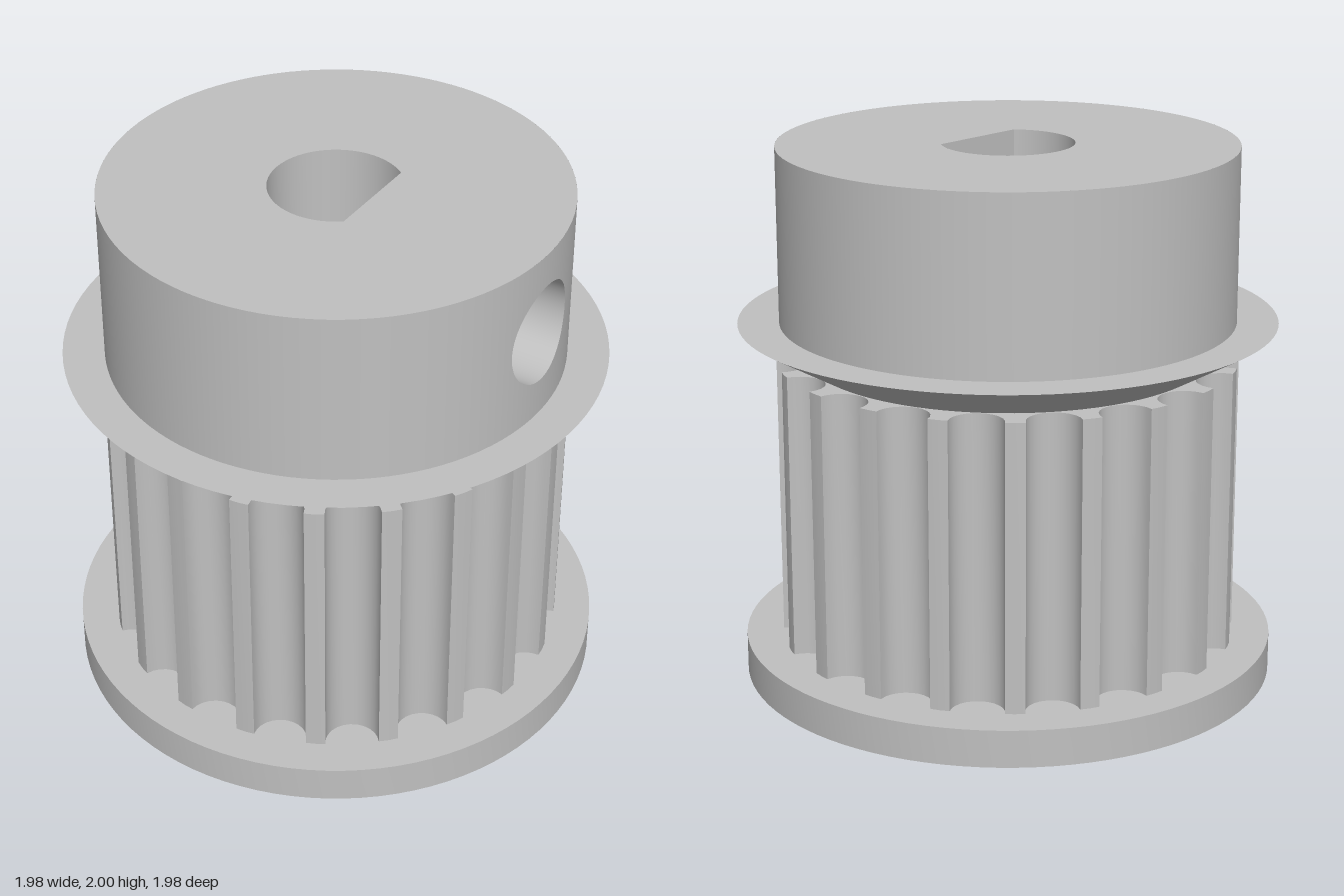
import * as THREE from 'three';
import { toCreasedNormals } from 'three/addons/utils/BufferGeometryUtils.js';

const FLANGE_R = 0.992, HUB_R = 0.84, TIP_R = 0.855;
const BORE_R = 0.243, FLAT_X = 0.15, BORE_A = Math.acos(FLAT_X / BORE_R);
const Y_FLANGE = 0.14, Y_TEETH = 1.21, Y_HUB = 1.35, Y_TOP = 2;
const SCREW_Y = 1.68, SCREW_R = 0.19, THREAD_R = 0.155, STEP_X = 0.3;

// D-shaped bore outline
function boreHole() {
  return new THREE.Path().absarc(0, 0, BORE_R, BORE_A, 2 * Math.PI - BORE_A, false);
}

function disc(radius) {
  const s = new THREE.Shape();
  s.absarc(0, 0, radius, 0, 2 * Math.PI, false);
  s.holes.push(boreHole());
  return s;
}

// Outline with 20 round-bottomed grooves
function toothedShape() {
  const teeth = 20, steps = 12, grooveR = 0.098, centreR = 0.848, pts = [];
  for (let k = 0; k < teeth; k++) {
    const g = (k / teeth) * 2 * Math.PI;
    for (let i = 0; i <= steps; i++) {
      const p = (i / steps - 0.5) * Math.PI;
      const r = centreR - grooveR * Math.cos(p), t = grooveR * Math.sin(p);
      pts.push(new THREE.Vector2(r * Math.cos(g) - t * Math.sin(g), r * Math.sin(g) + t * Math.cos(g)));
    }
    const m = g + Math.PI / teeth;
    pts.push(new THREE.Vector2(TIP_R * Math.cos(m), TIP_R * Math.sin(m)));
  }
  const s = new THREE.Shape(pts);
  s.holes.push(boreHole());
  return s;
}

function upright(shape, y0, y1) {
  const g = new THREE.ExtrudeGeometry(shape, { depth: y1 - y0, bevelEnabled: false, curveSegments: 48 });
  g.rotateX(-Math.PI / 2).translate(0, y0, 0);
  return toCreasedNormals(g, 0.6);
}

// Skin between closed loops of equal point count
function loft(loops) {
  const n = loops[0].length, index = [];
  for (let j = 0; j < loops.length - 1; j++) {
    for (let i = 0; i < n; i++) {
      const a = j * n + i, b = j * n + (i + 1) % n;
      index.push(a, a + n, b, b, a + n, b + n);
    }
  }
  const g = new THREE.BufferGeometry().setFromPoints(loops.flat());
  g.setIndex(index);
  g.computeVertexNormals();
  return g;
}

// Loop around the set-screw axis; point(t) gives the position at angle t
function loop(point) {
  return Array.from({ length: 64 }, (_, i) => point((i / 64) * 2 * Math.PI));
}

const screwCircle = (r, x) => loop(t => new THREE.Vector3(x, SCREW_Y + r * Math.sin(t), r * Math.cos(t)));
const onHub = (y, z) => new THREE.Vector3(Math.sqrt(HUB_R * HUB_R - z * z), y, z);

export function createModel() {
  const group = new THREE.Group();
  const steel = new THREE.MeshStandardMaterial({ color: 0xc0c0c0, side: THREE.DoubleSide });
  steel.name = 'steel grey';
  const add = (name, geometry) => {
    const m = new THREE.Mesh(geometry, steel);
    m.name = name;
    group.add(m);
    return m;
  };

  // Lower flange and toothed body
  add('lowerFlange', upright(disc(FLANGE_R), 0, Y_FLANGE));
  add('toothedBody', upright(toothedShape(), Y_FLANGE, Y_TEETH));

  // Upper flange: flared underside and flat top
  const flare = new THREE.CylinderGeometry(FLANGE_R, 0.745, Y_HUB - Y_TEETH, 96, 1, true);
  add('upperFlangeFlare', flare.translate(0, (Y_TEETH + Y_HUB) / 2, 0));
  const ring = new THREE.RingGeometry(HUB_R - 0.01, FLANGE_R, 96);
  add('upperFlangeTop', ring.rotateX(-Math.PI / 2).translate(0, Y_HUB, 0));

  // Hub wall, leaving a window for the set-screw hole
  const w = (Y_TOP - Y_HUB) / 2, mid = (Y_TOP + Y_HUB) / 2, half = Math.asin(w / HUB_R);
  const wall = new THREE.CylinderGeometry(HUB_R, HUB_R, 2 * w, 96, 1, true,
    Math.PI / 2 + half, 2 * Math.PI - 2 * half);
  add('hubWall', wall.translate(0, mid, 0));

  // Curved patch from the round hole out to the window's square edge
  const patchLoops = [];
  for (let j = 0; j <= 6; j++) {
    const f = j / 6;
    patchLoops.push(loop(t => {
      const c = Math.cos(t), s = Math.sin(t), q = w / Math.max(Math.abs(c), Math.abs(s));
      const z = THREE.MathUtils.lerp(SCREW_R * c, q * c, f);
      const y = THREE.MathUtils.lerp(SCREW_Y + SCREW_R * s, mid + q * s, f);
      return onHub(y, z);
    }));
  }
  const patch = loft(patchLoops);
  // Normals follow the hub cylinder, on the side the faces wind towards
  const pos = patch.attributes.position, nor = patch.attributes.normal;
  for (let i = 0; i < pos.count; i++) {
    const sign = Math.sign(nor.getX(i));
    nor.setXYZ(i, sign * pos.getX(i) / HUB_R, 0, sign * pos.getZ(i) / HUB_R);
  }
  add('hubScrewPatch', patch);

  const cap = new THREE.ShapeGeometry(disc(HUB_R), 48);
  add('hubTop', cap.rotateX(-Math.PI / 2).translate(0, Y_TOP, 0));

  // Stepped set-screw hole
  const rim = loop(t => onHub(SCREW_Y + SCREW_R * Math.sin(t), SCREW_R * Math.cos(t)));
  add('screwHoleWall', loft([rim, screwCircle(SCREW_R, STEP_X)]));
  add('screwHoleStep', loft([screwCircle(SCREW_R, STEP_X), screwCircle(THREAD_R, STEP_X)]));
  add('screwHoleInner', loft([screwCircle(THREAD_R, STEP_X), screwCircle(THREAD_R, FLAT_X)]));

  // Upper bore: round wall and pierced flat
  const bore = new THREE.CylinderGeometry(BORE_R, BORE_R, Y_TOP - Y_TEETH, 64, 1, true,
    Math.PI / 2 + BORE_A, 2 * Math.PI - 2 * BORE_A);
  add('boreWall', bore.translate(0, (Y_TOP + Y_TEETH) / 2, 0));
  const b = BORE_R * Math.sin(BORE_A);
  const flat = new THREE.Shape([[-b, Y_TEETH], [b, Y_TEETH], [b, Y_TOP], [-b, Y_TOP]]
    .map(p => new THREE.Vector2(...p)));
  flat.holes.push(new THREE.Path().absarc(0, SCREW_Y, THREAD_R, 0, 2 * Math.PI, false));
  add('boreFlat', new THREE.ShapeGeometry(flat, 32).rotateY(-Math.PI / 2).translate(FLAT_X, 0, 0));

  return group;
}
